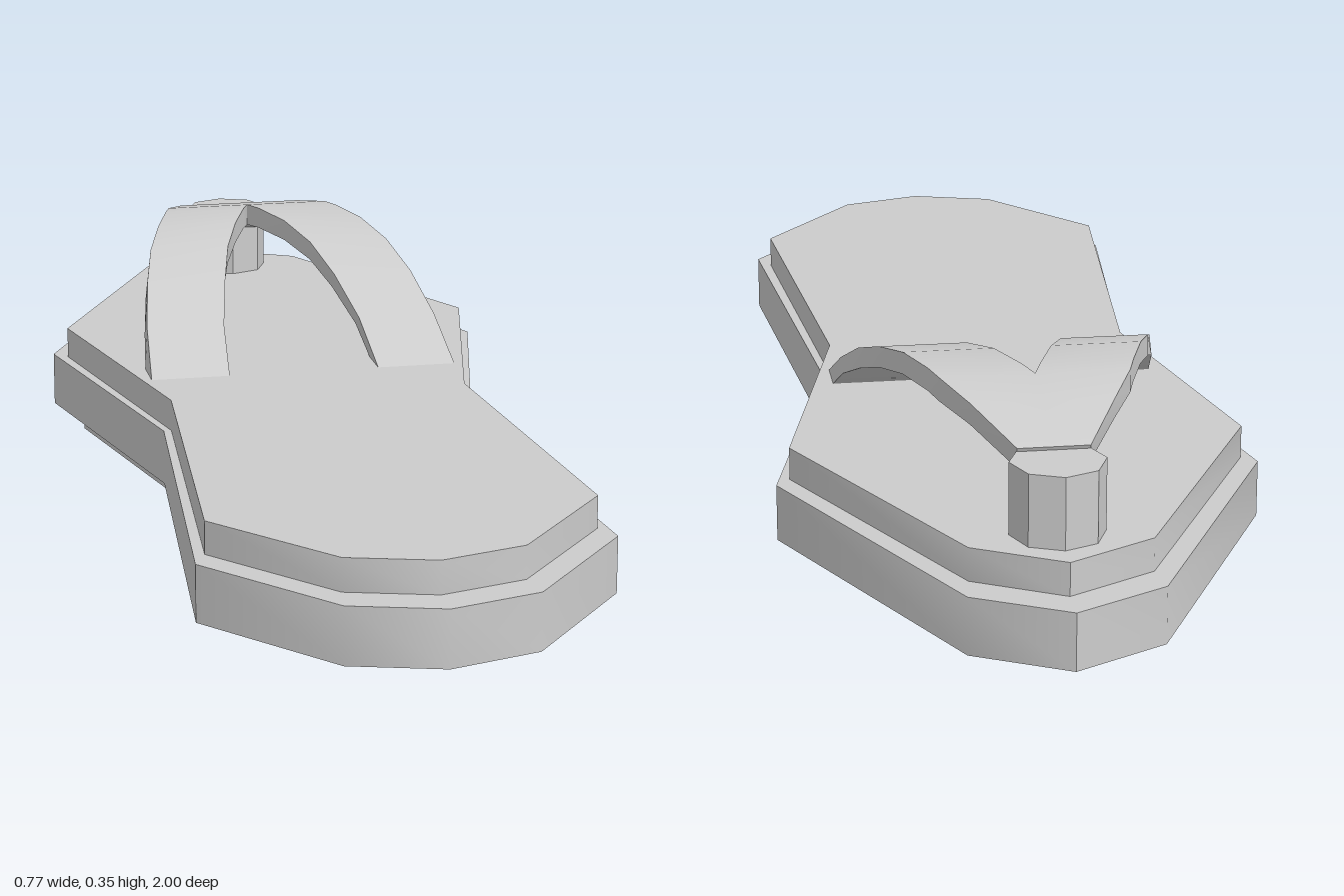
import * as THREE from 'three';
import { toCreasedNormals } from 'three/addons/utils/BufferGeometryUtils.js';

const CREASE = THREE.MathUtils.degToRad(41);

// Half outlines of the sole as [x, z], from toe to heel
const MIDDLE = [[0, -1], [0.147, -0.922], [0.385, -0.443], [0.265, 0.065], [0.325, 0.738], [0.147, 0.957], [0, 1]];
const UPPER = [[0, -0.94], [0.138, -0.864], [0.362, -0.42], [0.252, 0.065], [0.304, 0.697], [0.138, 0.9], [0, 0.94]];
const LOWER = MIDDLE.map(([x, z]) => [x * 0.88, z * 0.88]);

// Strap stations: outer x, inner x, top z, top y, underside z, underside y
const STRAP = [
  [0.265, 0.130, -0.06, 0.18, -0.13, 0.18],
  [0.255, 0.120, -0.17, 0.24, -0.20, 0.222],
  [0.237, 0.098, -0.28, 0.293, -0.30, 0.265],
  [0.215, 0.075, -0.38, 0.328, -0.385, 0.295],
  [0.187, 0.045, -0.47, 0.348, -0.47, 0.312],
  [0.159, 0.014, -0.56, 0.352, -0.56, 0.315],
  [0.147, 0, -0.60, 0.35, -0.60, 0.312],
  [0.110, 0, -0.68, 0.335, -0.675, 0.30],
  [0.055, 0, -0.785, 0.30, -0.77, 0.265],
];

// Mirrored outline extruded upwards between two heights
function soleLayer(half, y0, y1) {
  const mirrored = half.slice(1, -1).reverse().map(([x, z]) => [-x, z]);
  const shape = new THREE.Shape([...half, ...mirrored].map(([x, z]) => new THREE.Vector2(x, -z)));
  const geo = new THREE.ExtrudeGeometry(shape, { depth: y1 - y0, bevelEnabled: false });
  geo.rotateX(-Math.PI / 2).translate(0, y0, 0);
  return toCreasedNormals(geo, CREASE);
}

// Arched band with a four-cornered section; side is 1 (left) or -1 (right)
function strapGeometry(side) {
  const positions = [];
  const indices = [];
  for (const [xo, xi, zt, yt, zb, yb] of STRAP) {
    positions.push(side * xo, yt, zt, side * xi, yt, zt, side * xi, yb, zb, side * xo, yb, zb);
  }
  const tri = (a, b, c) => (side > 0 ? indices.push(a, b, c) : indices.push(a, c, b));
  for (let i = 0; i < STRAP.length - 1; i++) {
    for (let k = 0; k < 4; k++) {
      const a = i * 4 + k;
      const b = i * 4 + ((k + 1) % 4);
      tri(a, a + 4, b + 4);
      tri(a, b + 4, b);
    }
  }
  // End caps
  const e = (STRAP.length - 1) * 4;
  tri(0, 1, 2);
  tri(0, 2, 3);
  tri(e, e + 2, e + 1);
  tri(e, e + 3, e + 2);
  const geo = new THREE.BufferGeometry();
  geo.setAttribute('position', new THREE.Float32BufferAttribute(positions, 3));
  geo.setIndex(indices);
  return toCreasedNormals(geo, CREASE);
}

export function createModel() {
  const group = new THREE.Group();
  group.name = 'sandal';
  const grey = new THREE.MeshStandardMaterial({ color: 0xcccccc });
  grey.name = 'light grey';

  const add = (name, geometry) => {
    const mesh = new THREE.Mesh(geometry, grey);
    mesh.name = name;
    group.add(mesh);
    return mesh;
  };

  // Three stacked sole layers
  add('outsole', soleLayer(LOWER, 0, 0.035));
  add('midsole', soleLayer(MIDDLE, 0.035, 0.127));
  add('footbed', soleLayer(UPPER, 0.127, 0.18));

  // Toe post, eight-sided with sharp edges
  const post = toCreasedNormals(new THREE.CylinderGeometry(0.073, 0.073, 0.122, 8), 0.3);
  add('toePost', post).position.set(0, 0.233, -0.823);

  // Pair of straps joining at the toe post
  add('leftStrap', strapGeometry(1));
  add('rightStrap', strapGeometry(-1));

  return group;
}
